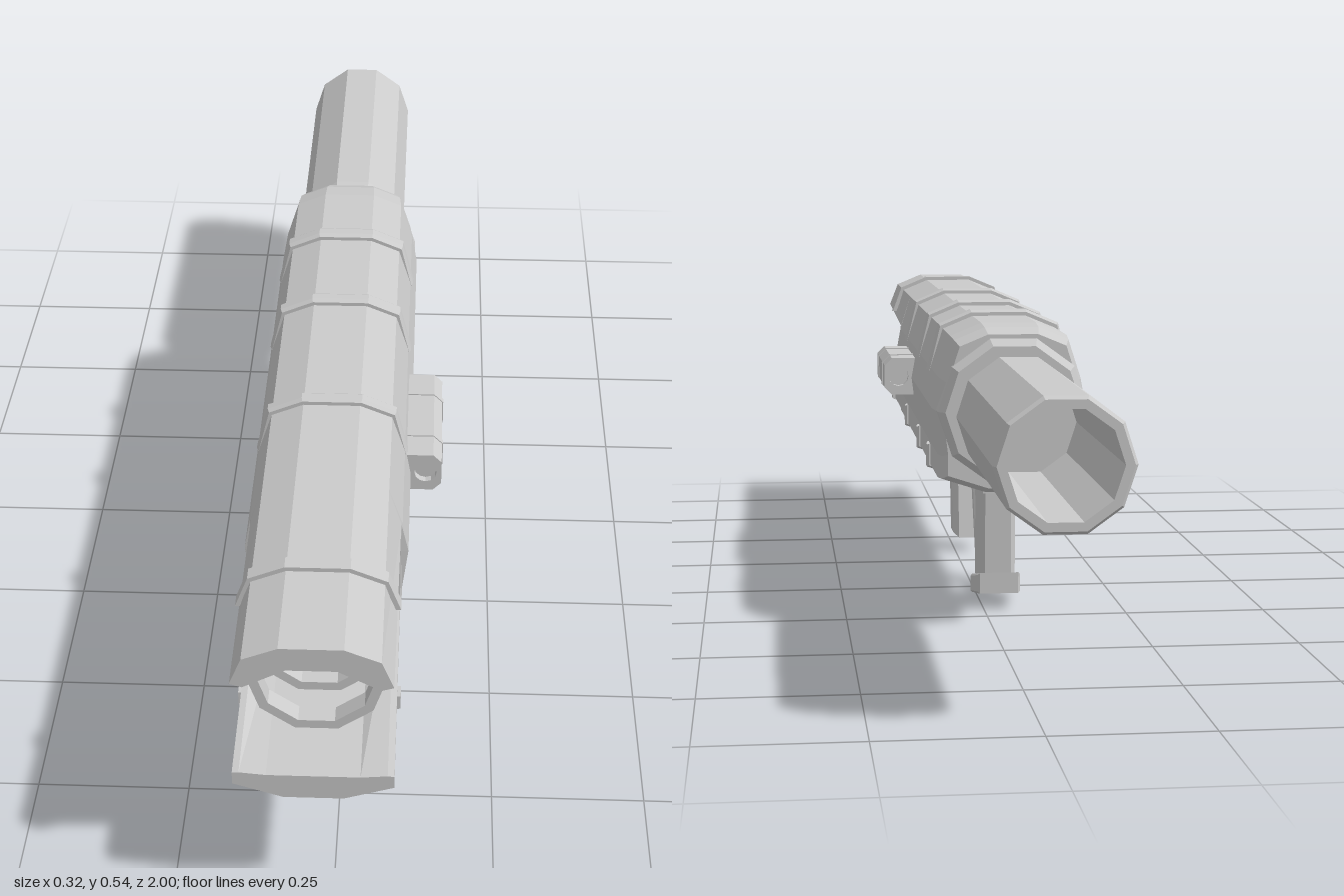
import * as THREE from 'three';

const CX = -0.027, CY = 0.387; // axis of the launcher
const mat = new THREE.MeshStandardMaterial({ color: 0xcccccc, flatShading: true });

// Mirrors half a cross-section about the axis; all sections wind counter-clockwise
function mirror(half, s = 1) {
  const right = half.map(([x, y]) => new THREE.Vector2(x * s, CY + (y - CY) * s));
  const left = right.map(p => new THREE.Vector2(-p.x, p.y)).reverse();
  const pts = [...right, ...left].map(p => p.setX(p.x + CX));
  return THREE.ShapeUtils.isClockWise(pts) ? pts.reverse() : pts;
}

// Skins [section, z] pairs in order of rising z and caps both ends
function loft(rows) {
  const pos = [], idx = [], n = rows[0][0].length;
  for (const [pts, z] of rows) for (const p of pts) pos.push(p.x, p.y, z);
  for (let r = 0; r < rows.length - 1; r++) {
    for (let i = 0; i < n; i++) {
      const a = r * n + i, b = r * n + (i + 1) % n;
      idx.push(a, b, b + n, a, b + n, a + n);
    }
  }
  const last = (rows.length - 1) * n;
  for (const [a, b, c] of THREE.ShapeUtils.triangulateShape(rows[0][0], [])) idx.push(c, b, a);
  for (const [a, b, c] of THREE.ShapeUtils.triangulateShape(rows[rows.length - 1][0], []))
    idx.push(last + a, last + b, last + c);
  const g = new THREE.BufferGeometry();
  g.setAttribute('position', new THREE.Float32BufferAttribute(pos, 3));
  g.setIndex(idx);
  const flat = g.toNonIndexed();
  flat.computeVertexNormals();
  return flat;
}

// Ten-sided turned part along z from [radius, z] points
function turned(points, sides = 10) {
  const g = new THREE.LatheGeometry(points.map(([r, z]) => new THREE.Vector2(r, z)), sides, Math.PI / 2);
  return g.rotateX(Math.PI / 2).translate(CX, CY, 0);
}

// Side profile of [z, y] points, given a width across x and chamfered edges
function sidePart(points, width, bevel) {
  const shape = new THREE.Shape(points.map(([z, y]) => new THREE.Vector2(z, y)));
  const g = new THREE.ExtrudeGeometry(shape, {
    depth: width - 2 * bevel, bevelEnabled: bevel > 0, bevelSize: bevel,
    bevelThickness: bevel, bevelOffset: -bevel, bevelSegments: 1,
  });
  return g.translate(0, 0, bevel - width / 2).rotateY(-Math.PI / 2).translate(CX, 0, 0);
}

export function createModel() {
  const model = new THREE.Group();
  const add = (name, geometry) => {
    const mesh = new THREE.Mesh(geometry, mat);
    mesh.name = name;
    model.add(mesh);
    return mesh;
  };

  // Main housing, tapered at the rear
  const body = [[0.047, 0.53], [0.1, 0.508], [0.122, 0.44], [0.132, 0.385],
    [0.122, 0.305], [0.122, 0.265], [0.045, 0.24]];
  const bodyFront = body.map(([x, y]) => [Math.min(x, 0.12), y]);
  add('housing', loft([
    [mirror(body, 0.9), -0.395], [mirror(body, 0.97), -0.37], [mirror(body), -0.33],
    [mirror(body), 0.59], [mirror(bodyFront), 0.592], [mirror(bodyFront), 0.62],
  ]));

  // Upper and lower shells reaching forward of the housing
  add('upperShell', loft([
    [mirror([[0.047, 0.53], [0.1, 0.508], [0.12, 0.445], [0.1, 0.44], [0.037, 0.49]]), 0.6],
    [mirror([[0.047, 0.53], [0.1, 0.508], [0.118, 0.462], [0.1, 0.456], [0.037, 0.49]]), 1],
  ]));
  add('lowerShell', loft([
    [mirror([[0.045, 0.24], [0.12, 0.265], [0.12, 0.305], [0.11, 0.306], [0.07, 0.284]]), 0.6],
    [mirror([[0.045, 0.24], [0.12, 0.265], [0.12, 0.287], [0.11, 0.288], [0.07, 0.284]]), 1],
  ]));

  // Raised bands over the top and under the bottom
  const topBand = [[0.05, 0.54], [0.107, 0.516], [0.127, 0.435], [0.112, 0.435], [0.09, 0.5], [0.04, 0.518]];
  const lowBand = [[0.047, 0.232], [0.128, 0.26], [0.128, 0.3], [0.112, 0.3], [0.112, 0.274], [0.045, 0.252]];
  for (const [z, w] of [[0.38, 0.026], [0.065, 0.03], [-0.17, 0.034]]) {
    for (const [name, half] of [['upperBand', topBand], ['lowerBand', lowBand]]) {
      add(name, loft([
        [mirror(half, 0.975), z - w / 2], [mirror(half), z - w / 4],
        [mirror(half), z + w / 4], [mirror(half, 0.975), z + w / 2],
      ]));
    }
  }
  // Slimmer bands on the shells
  for (const [name, half] of [['upperShellBand', topBand], ['lowerShellBand', lowBand]]) {
    const slim = half.map(([x, y]) => [x, name === 'upperShellBand' ? Math.max(y, 0.462) : Math.min(y, 0.285)]);
    add(name, loft([[mirror(slim, 0.98), 0.803], [mirror(slim, 0.98), 0.827]]));
  }

  // Open rings between the shells, and the round plug behind them
  for (const z of [0.8, 0.885])
    add('frontRing', turned([[0.09, z - 0.015], [0.106, z - 0.015], [0.106, z + 0.015],
      [0.09, z + 0.015], [0.09, z - 0.015]]));
  add('muzzlePlug', turned([[0.073, 0.6], [0.073, 0.628], [0.06, 0.638], [0, 0.638]]));

  // Rear collar, neck and hollow exhaust tube
  add('rearCollar', turned([[0, -0.415], [0.116, -0.415], [0.128, -0.4], [0.128, -0.37], [0, -0.37]]));
  add('exhaustTube', turned([
    [0, -0.55], [0.084, -0.55], [0.084, -1], [0.098, -1], [0.103, -0.993],
    [0.103, -0.468], [0.097, -0.45], [0.092, -0.445], [0.092, -0.4],
  ]));

  // Rail, front grip with its collar
  add('rail', sidePart([[0.45, 0.25], [0.45, 0.21], [-0.185, 0.21], [-0.185, 0.25]], 0.066, 0.005));
  add('gripCollar', sidePart([[0.458, 0.25], [0.455, 0.198], [0.37, 0.198], [0.37, 0.25]], 0.074, 0.006));
  add('frontGrip', sidePart([[0.443, 0.215], [0.408, 0.028], [0.343, 0.028], [0.38, 0.215]], 0.063, 0.012));

  // Rear grip, its foot, and the trigger guard
  add('rearGrip', sidePart([[-0.072, 0.24], [-0.072, 0.195], [-0.08, 0.185], [-0.075, 0.035],
    [-0.18, 0.05], [-0.184, 0.24]], 0.063, 0.008));
  add('gripFoot', sidePart([[-0.062, 0.038], [-0.062, 0.003], [-0.2, 0.03], [-0.2, 0.068]], 0.077, 0.004));
  add('triggerGuard', sidePart([[0.135, 0.215], [0.05, 0.055], [0.005, 0.012], [-0.065, 0],
    [-0.065, 0.028], [-0.005, 0.035], [0.03, 0.068], [0.095, 0.215]], 0.036, 0.004));

  // Side sight with a sunken lens and two thin straps
  const sightSection = (o = 0) => [[0.09, 0.352 - o], [0.143, 0.352 - o], [0.157 + o, 0.366],
    [0.157 + o, 0.409], [0.143, 0.423 + o], [0.09, 0.423 + o]].map(([x, y]) => new THREE.Vector2(x, y));
  const sightShape = new THREE.Shape(sightSection());
  const lensHole = new THREE.Path().absarc(0.13, 0.388, 0.019, 0, Math.PI * 2, true);
  sightShape.holes.push(lensHole);
  add('sight', new THREE.ExtrudeGeometry(sightShape, { depth: 0.245, bevelEnabled: false, curveSegments: 6 })
    .translate(0, 0, 0.135));
  add('sightLens', new THREE.CylinderGeometry(0.019, 0.019, 0.22, 12).rotateX(Math.PI / 2)
    .translate(0.13, 0.388, 0.2575));
  for (const z of [0.195, 0.32])
    add('sightStrap', loft([[sightSection(0.002), z - 0.005], [sightSection(0.002), z + 0.005]]));

  return model;
}
